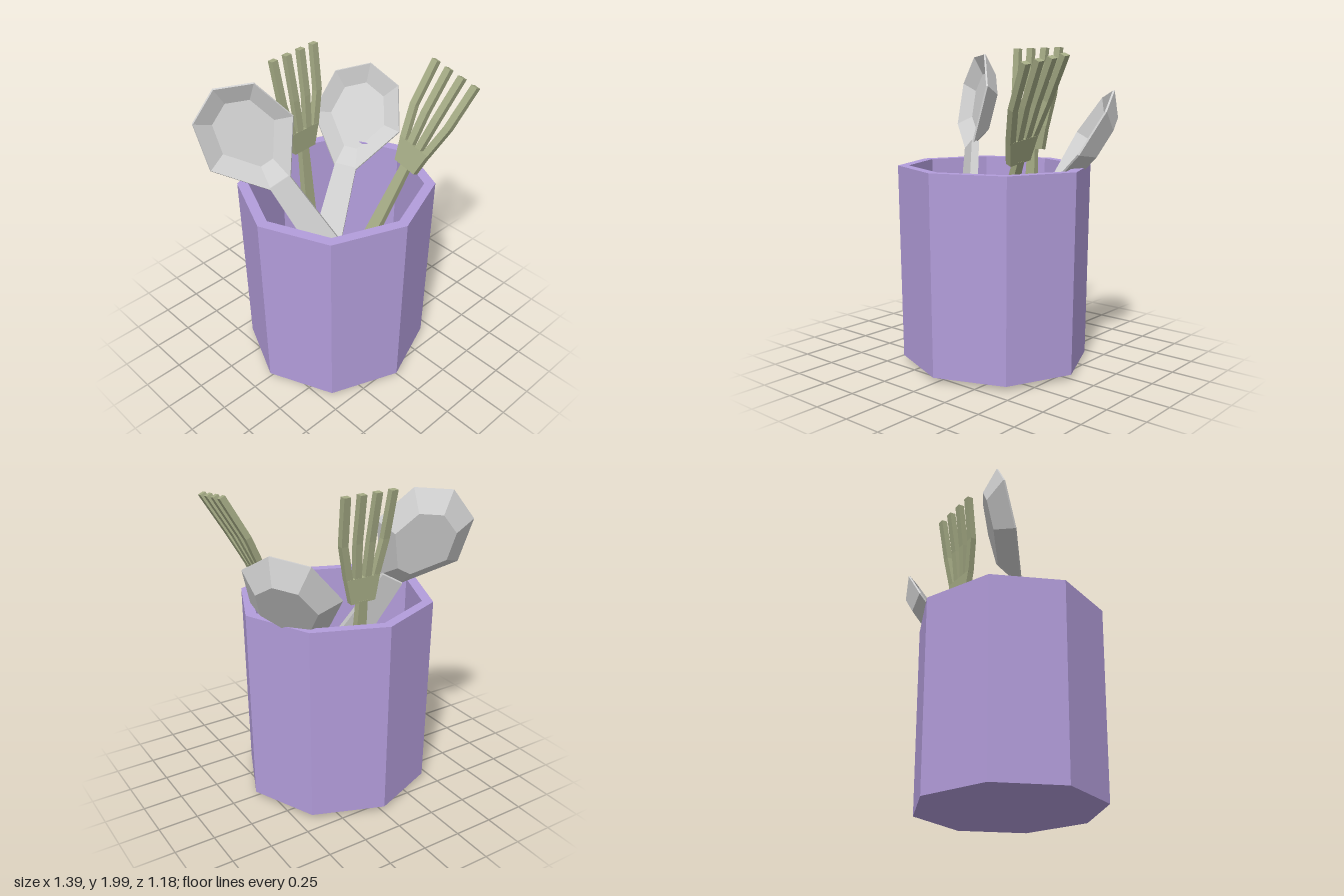
import * as THREE from 'three';

const material = (name, color) => {
  const m = new THREE.MeshStandardMaterial({ color, flatShading: true });
  m.name = name;
  return m;
};

// Skin a list of equal-length rings (counter-clockwise about the sweep direction), with end caps
function skin(rings) {
  const n = rings[0].length, index = [];
  for (let r = 0; r < rings.length - 1; r++) {
    for (let i = 0; i < n; i++) {
      const a = r * n + i, b = r * n + (i + 1) % n;
      index.push(a, b, b + n, a, b + n, a + n);
    }
  }
  const last = (rings.length - 1) * n;
  for (let i = 1; i < n - 1; i++) {
    index.push(0, i + 1, i);
    index.push(last, last + i, last + i + 1);
  }
  const g = new THREE.BufferGeometry();
  g.setAttribute('position', new THREE.Float32BufferAttribute(rings.flat(2), 3));
  g.setIndex(index);
  const flat = g.toNonIndexed();
  flat.computeVertexNormals();
  return flat;
}

// Rectangular bar along y; each section is [y, centre x, half width, centre z, half depth]
const bar = (sections) => skin(sections.map(([y, x, w, z, d]) => [
  [x - w, y, z + d], [x + w, y, z + d], [x + w, y, z - d], [x - w, y, z - d],
]));

function addMesh(parent, geometry, mat, name) {
  const mesh = new THREE.Mesh(geometry, mat);
  mesh.name = name;
  parent.add(mesh);
  return mesh;
}

// Place a utensil: origin, long axis, and width direction
function place(group, origin, along, across) {
  const y = new THREE.Vector3(...along).normalize();
  const x = new THREE.Vector3(...across);
  x.addScaledVector(y, -x.dot(y)).normalize();
  const z = new THREE.Vector3().crossVectors(x, y);
  group.quaternion.setFromRotationMatrix(new THREE.Matrix4().makeBasis(x, y, z));
  group.position.set(...origin);
  return group;
}

// Spoon: origin at the widest part of the bowl
function makeSpoon(name, mat) {
  const spoon = new THREE.Group();
  spoon.name = name;
  const outline = [[0.07, -0.31], [0.29, 0], [0.21, 0.29], [0, 0.39], [-0.21, 0.29], [-0.29, 0], [-0.07, -0.31]];
  const ring = (scale, z) => outline.map(([x, y]) => [x * scale, 0.06 + (y - 0.06) * scale, z]);
  addMesh(spoon, skin([ring(0.62, -0.12), ring(1, -0.01), ring(0.98, 0), ring(0.62, -0.07)]), mat, 'spoonBowl');
  addMesh(spoon, bar([
    [-1.58, 0, 0.07, -0.02, 0.02],
    [-1.48, 0, 0.125, -0.02, 0.03],
    [-0.9, 0, 0.095, -0.02, 0.03],
    [-0.29, 0, 0.07, -0.02, 0.025],
  ]), mat, 'spoonHandle');
  return spoon;
}

// Fork: origin at the bottom of the head
function makeFork(name, mat) {
  const fork = new THREE.Group();
  fork.name = name;
  addMesh(fork, bar([[-1.09, 0, 0.056, 0, 0.025], [0.01, 0, 0.03, 0.005, 0.02]]), mat, 'forkHandle');
  addMesh(fork, bar([[0, 0, 0.085, 0.005, 0.02], [0.15, 0, 0.118, 0.02, 0.02]]), mat, 'forkHead');
  for (const side of [-1, 1]) {
    for (const [base, middle, tip] of [[0.095, 0.145, 0.162], [0.034, 0.046, 0.054]]) {
      addMesh(fork, bar([
        [0.14, side * base, 0.023, 0.02, 0.019],
        [0.36, side * middle, 0.023, 0.02, 0.019],
        [0.65, side * tip, 0.022, 0, 0.019],
      ]), mat, 'forkTine');
    }
  }
  return fork;
}

export function createModel() {
  const model = new THREE.Group();
  model.name = 'utensilHolder';
  const purple = material('purple cup', 0xb39ddb);
  const grey = material('light grey spoon', 0xd0d0d0);
  const olive = material('olive fork', 0xa5ab85);

  // Eight-sided cup with a rim, inner wall and floor
  const profile = [[0, 0], [0.603, 0.028], [0.62, 1.26], [0.55, 1.26], [0.535, 0.12], [0, 0.12]];
  const cup = addMesh(model, new THREE.LatheGeometry(profile.map((p) => new THREE.Vector2(...p)), 8), purple, 'cup');
  cup.scale.z = 0.95;
  cup.position.x = -0.015;

  // Utensils leaning in the cup
  model.add(
    place(makeSpoon('rightSpoon', grey), [-0.44, 1.61, -0.255], [-0.31, 0.86, -0.43], [0.79, 0.49, 0.37]),
    place(makeSpoon('leftSpoon', grey), [0.42, 1.405, -0.27], [0.52, 0.83, -0.2], [0.56, -0.18, 0.81]),
    place(makeFork('backFork', olive), [0.022, 1.34, -0.345], [-0.01, 1, -0.08], [1, 0.04, -0.04]),
    place(makeFork('leftFork', olive), [0.36, 1.32, 0.23], [0.41, 0.9, 0.165], [-0.05, -0.11, 0.99]),
  );
  return model;
}
